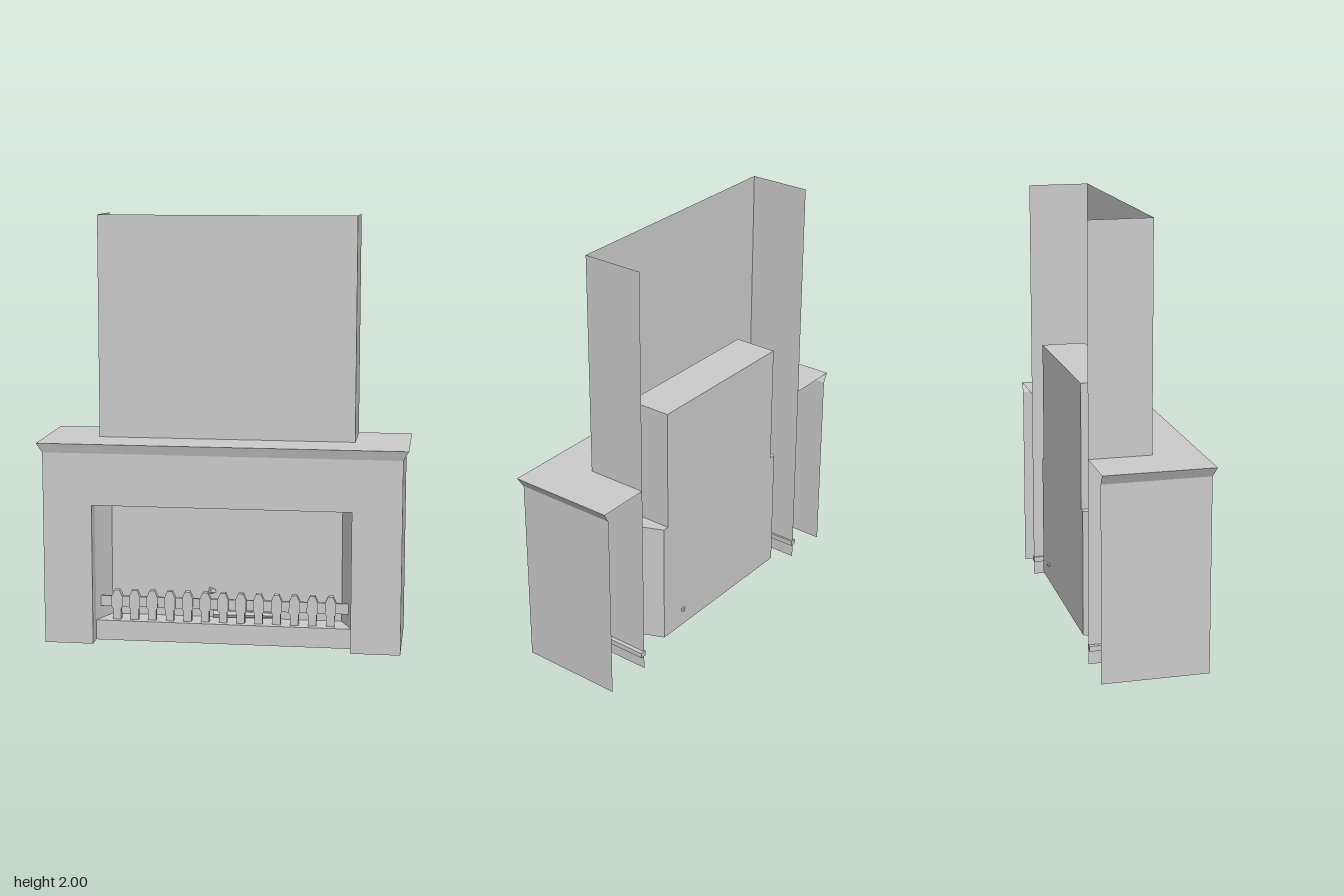
import * as THREE from 'three';

const material = new THREE.MeshStandardMaterial({ color: 0xcccccc, side: THREE.DoubleSide, flatShading: true });

export function createModel() {
  const model = new THREE.Group();

  const add = (name, geometry, parent = model) => {
    const mesh = new THREE.Mesh(geometry, material);
    mesh.name = name;
    parent.add(mesh);
    return mesh;
  };

  // Flat convex panel through corners listed counter-clockwise from its front
  const panel = (name, corners) => {
    const points = [];
    for (let i = 1; i < corners.length - 1; i++) points.push(...corners[0], ...corners[i], ...corners[i + 1]);
    const geometry = new THREE.BufferGeometry();
    geometry.setAttribute('position', new THREE.Float32BufferAttribute(points, 3));
    geometry.computeVertexNormals();
    return add(name, geometry);
  };

  // The same panel on both sides of the model
  const pair = (name, corners) => {
    panel(name + 'Left', corners);
    panel(name + 'Right', corners.map(([x, y, z]) => [-x, y, z]).reverse());
  };

  const outline = (points) => new THREE.Shape(points.map(([x, y]) => new THREE.Vector2(x, y)));

  const back = -0.255;   // open rear edge
  const breast = 0.605;  // half width of chimney and opening
  const wall = 0.035;    // front plane of the chimney
  const face = 0.24;     // front plane of the surround
  const lintel = 0.665;
  const hearthY = 0.095;
  const hearthZ = 0.165;

  // Chimney breast, open at the back and top
  panel('chimneyFront', [[-breast, hearthY, wall], [breast, hearthY, wall], [breast, 2, wall], [-breast, 2, wall]]);
  pair('chimneySide', [[breast, 0, wall], [breast, 0, back], [breast, 2, back], [breast, 2, wall]]);

  // Surround with the fire opening
  const surround = outline([
    [-0.835, 0], [-breast, 0], [-breast, lintel], [breast, lintel],
    [breast, 0], [0.835, 0], [0.835, 0.91], [-0.835, 0.91],
  ]);
  add('surroundFront', new THREE.ShapeGeometry(surround)).position.z = face;
  pair('surroundSide', [[0.835, 0, face], [0.835, 0, back], [0.835, 0.91, back], [0.835, 0.91, face]]);
  pair('jamb', [[breast, 0, hearthZ], [breast, 0, face], [breast, lintel, face], [breast, lintel, hearthZ]]);

  // Mantel shelf: flat top cut around the chimney, with flared edges
  const shelf = outline([
    [-0.86, -0.255], [0.86, -0.255], [0.86, -back], [breast, -back],
    [breast, -wall], [-breast, -wall], [-breast, -back], [-0.86, -back],
  ]);
  add('shelfTop', new THREE.ShapeGeometry(shelf).rotateX(-Math.PI / 2)).position.y = 0.955;
  panel('shelfFrontEdge', [[-0.835, 0.91, face], [0.835, 0.91, face], [0.86, 0.955, 0.255], [-0.86, 0.955, 0.255]]);
  pair('shelfSideEdge', [[0.835, 0.91, face], [0.835, 0.91, back], [0.86, 0.955, back], [0.86, 0.955, 0.255]]);

  // Firebox with splayed sides
  const floorY = 0.07;
  pair('fireboxSide', [
    [breast, floorY, hearthZ], [breast, lintel, hearthZ], [0.435, lintel, -0.24], [0.435, floorY, -0.24],
  ]);
  panel('fireboxBack', [[0.435, floorY, -0.24], [-0.435, floorY, -0.24], [-0.435, lintel, -0.24], [0.435, lintel, -0.24]]);
  const plan = [[-breast, hearthZ], [breast, hearthZ], [0.435, -0.24], [-0.435, -0.24]];
  panel('fireboxFloor', plan.map(([x, z]) => [x, floorY, z]));
  panel('fireboxCeiling', plan.map(([x, z]) => [x, lintel, z]));
  panel('lintelSoffit', [[-breast, lintel, hearthZ], [breast, lintel, hearthZ], [breast, lintel, face], [-breast, lintel, face]]);

  // Smoke hood standing on the firebox
  const hood = add('smokeHood', new THREE.BoxGeometry(0.81, 1.248 - lintel, 0.21));
  hood.position.set(0, (1.248 + lintel) / 2, -0.135);

  // Hearth front, top and the low rails along the chimney sides
  panel('hearthFront', [[-breast, 0, hearthZ], [breast, 0, hearthZ], [breast, hearthY, hearthZ], [-breast, hearthY, hearthZ]]);
  panel('hearthTop', [[-breast, hearthY, hearthZ], [breast, hearthY, hearthZ], [breast, hearthY, wall], [-breast, hearthY, wall]]);
  for (const side of [-1, 1]) {
    const rail = add('hearthRail', new THREE.BoxGeometry(0.03, 0.025, hearthZ - back));
    rail.position.set(side * 0.61, 0.08, (hearthZ + back) / 2);
  }

  // Grate: a long rail carrying upright bars with pointed tips
  const grate = new THREE.Group();
  grate.name = 'grate';
  grate.position.z = 0.12;
  model.add(grate);
  add('grateRail', new THREE.BoxGeometry(1.18, 0.05, 0.014), grate).position.y = 0.18;
  const barShape = outline([
    [-0.019, hearthY], [0.019, hearthY], [0.019, 0.145], [0.026, 0.155], [0.026, 0.205],
    [0.012, 0.237], [-0.012, 0.237], [-0.026, 0.205], [-0.026, 0.155], [-0.019, 0.145],
  ]);
  const barGeometry = new THREE.ExtrudeGeometry(barShape, { depth: 0.03, bevelEnabled: false }).translate(0, 0, -0.015);
  for (let i = -6; i <= 6; i++) add('grateBar', barGeometry, grate).position.x = i * 0.0845 - 0.003;

  // Logs: tapered sticks lying across the firebox
  const logs = [
    [[-0.08, 0.225, 0.04], [0.3, 0.155, -0.245], 0.016],
    [[-0.06, 0.115, 0.05], [0.24, 0.115, 0.045], 0.02],
    [[-0.3, 0.085, -0.15], [0.05, 0.08, -0.02], 0.025],
    [[0.32, 0.085, -0.05], [0.05, 0.08, -0.16], 0.025],
  ];
  for (const [from, to, radius] of logs) {
    const a = new THREE.Vector3(...from);
    const direction = new THREE.Vector3(...to).sub(a);
    const log = add('log', new THREE.CylinderGeometry(radius * 0.6, radius, direction.length(), 6));
    log.position.copy(a).addScaledVector(direction, 0.5);
    log.quaternion.setFromUnitVectors(new THREE.Vector3(0, 1, 0), direction.normalize());
  }

  return model;
}
